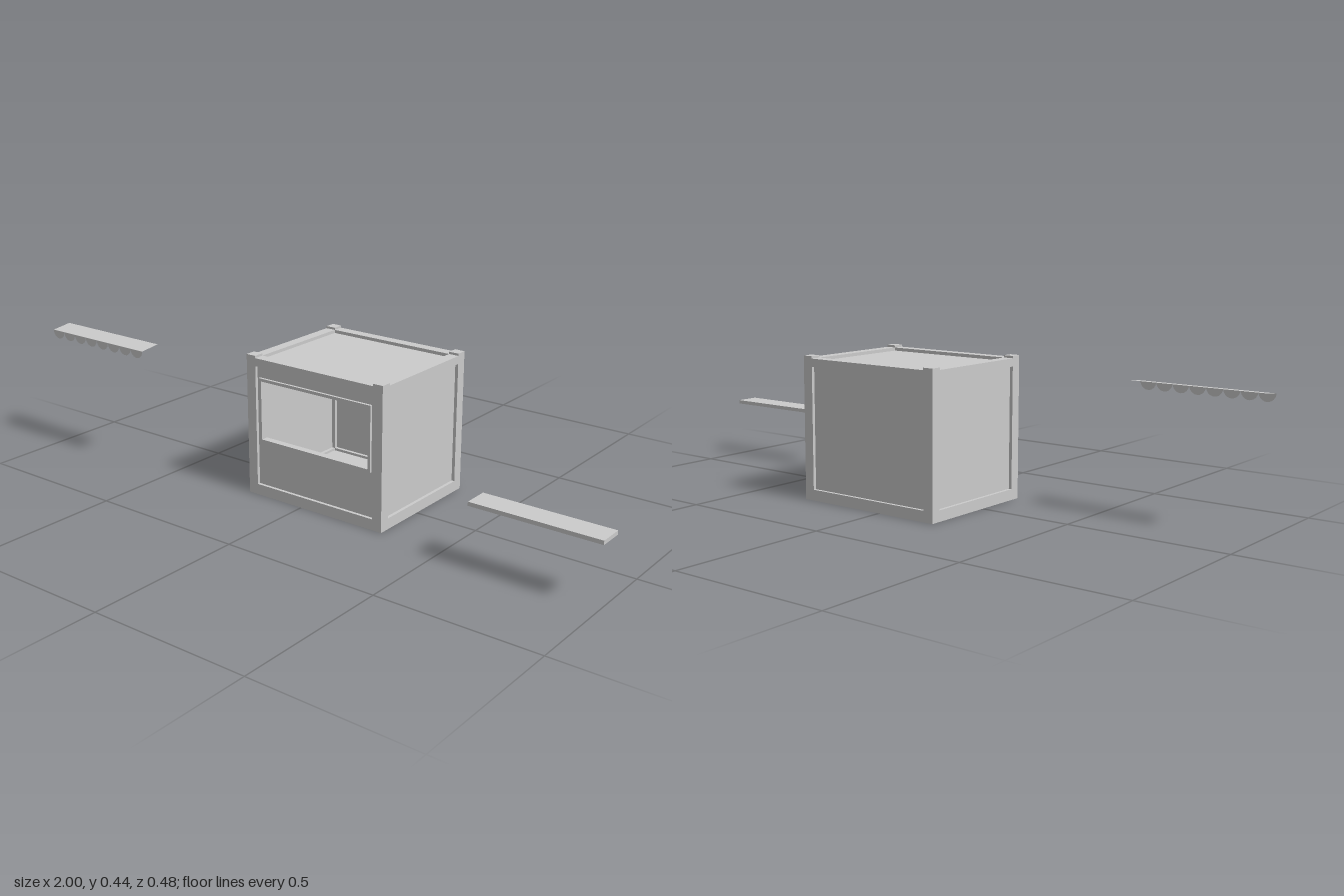
import * as THREE from 'three';

const mat = new THREE.MeshStandardMaterial({ color: 0xcccccc, flatShading: true });
const sheetMat = new THREE.MeshStandardMaterial({ color: 0xcccccc, side: THREE.DoubleSide });

// Overall limits of the booth and its beam size
const X0 = -0.202, X1 = 0.295, Z0 = -0.238, Z1 = 0.18, TOP = 0.436;
const BEAM = 0.033, POST_TOP = 0.443, RECESS = 0.01, WALL = 0.012;

// Box given by its minimum and maximum corners
function block(parent, name, x0, x1, y0, y1, z0, z1) {
  const mesh = new THREE.Mesh(new THREE.BoxGeometry(x1 - x0, y1 - y0, z1 - z0), mat);
  mesh.position.set((x0 + x1) / 2, (y0 + y1) / 2, (z0 + z1) / 2);
  mesh.name = name;
  parent.add(mesh);
  return mesh;
}

// Rectangular plate with a rectangular opening, thickness along z
function openPlate(parent, name, outer, inner, z0, z1) {
  const corners = ([x0, x1, y0, y1]) => [[x0, y0], [x1, y0], [x1, y1], [x0, y1]]
    .map(([x, y]) => new THREE.Vector2(x, y));
  const shape = new THREE.Shape(corners(outer));
  shape.holes.push(new THREE.Path(corners(inner).reverse()));
  const geo = new THREE.ExtrudeGeometry(shape, { depth: z1 - z0, bevelEnabled: false });
  const mesh = new THREE.Mesh(geo, mat);
  mesh.position.z = z0;
  mesh.name = name;
  parent.add(mesh);
  return mesh;
}

function buildBooth() {
  const booth = new THREE.Group();
  booth.name = 'booth';
  const ix0 = X0 + BEAM, ix1 = X1 - BEAM, iz0 = Z0 + BEAM, iz1 = Z1 - BEAM;

  // Corner posts rise slightly above the beams
  for (const x of [X0, ix1])
    for (const z of [Z0, iz1])
      block(booth, 'cornerPost', x, x + BEAM, 0, POST_TOP, z, z + BEAM);

  // Bottom and top beams
  for (const [y0, y1] of [[0, 0.034], [0.411, TOP]]) {
    for (const z of [Z0, iz1]) block(booth, 'longBeam', ix0, ix1, y0, y1, z, z + BEAM);
    for (const x of [X0, ix1]) block(booth, 'sideBeam', x, x + BEAM, y0, y1, iz0, iz1);
  }

  // Recessed wall, roof and floor panels
  const lo = 0.02, hi = 0.42;
  block(booth, 'leftWall', X1 - RECESS - WALL, X1 - RECESS, lo, hi, iz0, iz1);
  block(booth, 'rightWall', X0 + RECESS, X0 + RECESS + WALL, lo, hi, iz0, iz1);
  block(booth, 'backWall', ix0, ix1, lo, hi, Z0 + RECESS, Z0 + RECESS + WALL);
  block(booth, 'roofPanel', ix0, ix1, TOP - RECESS - WALL, TOP - RECESS, iz0, iz1);
  block(booth, 'floorPanel', ix0, ix1, 0.001, 0.026, iz0, iz1);

  // Front wall with serving window and its trim
  const opening = [-0.15, 0.243, 0.183, 0.367];
  openPlate(booth, 'frontWall', [ix0, ix1, lo, hi], opening, Z1 - RECESS - WALL, Z1 - RECESS);
  openPlate(booth, 'windowTrim', [-0.159, 0.252, 0.174, 0.376], opening, Z1 - RECESS - WALL - 0.003, Z1 - 0.002);
  return booth;
}

function buildAwning() {
  const awning = new THREE.Group();
  awning.name = 'awning';
  const x0 = -1, x1 = -0.586, zBack = 0.17, zFront = 0.238, yBack = 0.401, yFront = 0.393;

  // Sloping sheet
  const sheet = new THREE.PlaneGeometry(x1 - x0, Math.hypot(zFront - zBack, yBack - yFront));
  sheet.rotateX(-Math.PI / 2 + Math.atan2(yBack - yFront, zFront - zBack));
  const canopy = new THREE.Mesh(sheet, sheetMat);
  canopy.position.set((x0 + x1) / 2, (yBack + yFront) / 2, (zBack + zFront) / 2);
  canopy.name = 'canopySheet';
  awning.add(canopy);

  // Row of half-round flaps along the front edge
  const count = 8, r = (x1 - x0) / count / 2;
  const flap = new THREE.CircleGeometry(r, 12, Math.PI, Math.PI);
  for (let i = 0; i < count; i++) {
    const mesh = new THREE.Mesh(flap, sheetMat);
    mesh.position.set(x0 + r * (2 * i + 1), yFront, zFront);
    mesh.name = 'scallop';
    awning.add(mesh);
  }
  return awning;
}

// Serving shelf: thin top with a rim, hollow underneath
function buildShelf() {
  const shelf = new THREE.Group();
  shelf.name = 'servingShelf';
  const x0 = 0.604, x1 = 1, y0 = 0.182, y1 = 0.194, z0 = 0.143, z1 = 0.22, rim = 0.006;
  block(shelf, 'shelfTop', x0, x1, y1 - 0.004, y1, z0, z1);
  for (const z of [z0, z1 - rim]) block(shelf, 'longRim', x0, x1, y0, y1 - 0.004, z, z + rim);
  for (const x of [x0, x1 - rim]) block(shelf, 'endRim', x, x + rim, y0, y1 - 0.004, z0 + rim, z1 - rim);
  return shelf;
}

export function createModel() {
  const model = new THREE.Group();
  model.name = 'marketBooth';
  model.add(buildBooth(), buildAwning(), buildShelf());
  return model;
}
